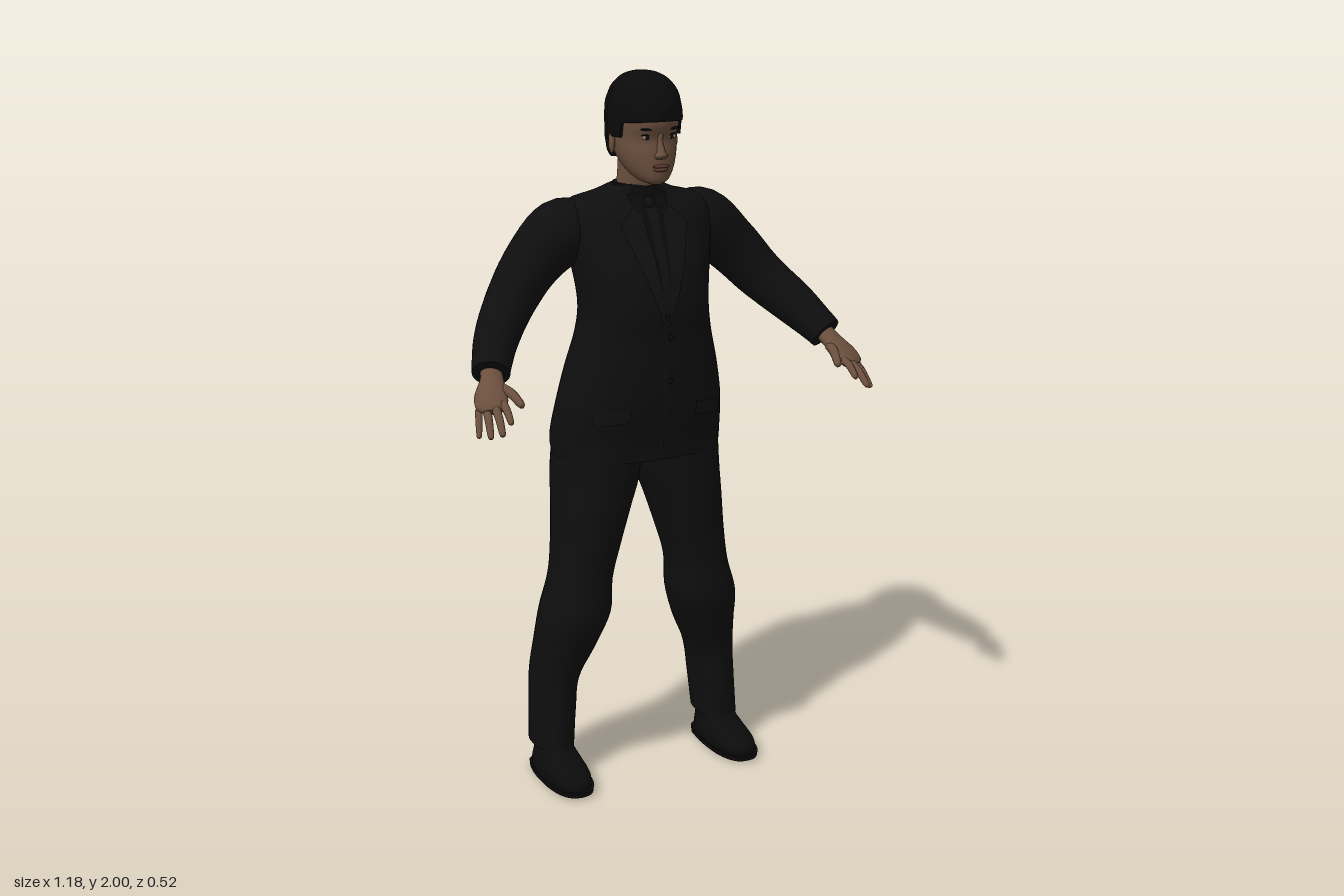
import * as THREE from 'three';

const mat = (name, color, side = THREE.FrontSide) => {
  const m = new THREE.MeshStandardMaterial({ color, side });
  m.name = name;
  return m;
};

// Smooth curves through rows of [x, y, z, radiusU, radiusV]
const curves = rows => [
  new THREE.CatmullRomCurve3(rows.map(r => new THREE.Vector3(r[0], r[1], r[2])), false, 'catmullrom', 0.5),
  new THREE.CatmullRomCurve3(rows.map(r => new THREE.Vector3(r[3], r[4], 0)), false, 'catmullrom', 0.5),
];
const sp = (v, p) => Math.sign(v) * Math.abs(v) ** (2 / p);

// Skin over superellipse sections, either level (stacked in y) or square to a path
function loft(rows, { power = 2, level = false, sides = 32, steps = 5 } = {}) {
  const [path, radii] = curves(rows), n = (rows.length - 1) * steps;
  const pos = [], idx = [], Y = new THREE.Vector3(0, 1, 0);
  const u = new THREE.Vector3(1, 0, 0), v = new THREE.Vector3(0, 0, 1), p = new THREE.Vector3();
  for (let i = 0; i <= n; i++) {
    const c = path.getPoint(i / n), r = radii.getPoint(i / n);
    if (!level) {
      const w = path.getTangent(i / n);
      u.crossVectors(w, Y).normalize();
      v.crossVectors(u, w);
    }
    for (let j = 0; j < sides; j++) {
      const a = j / sides * Math.PI * 2;
      p.copy(c).addScaledVector(u, sp(Math.cos(a), power) * r.x).addScaledVector(v, sp(Math.sin(a), power) * r.y);
      pos.push(p.x, p.y, p.z);
      if (i < n) {
        const k = (j + 1) % sides, A = i * sides + j, B = i * sides + k;
        idx.push(A, A + sides, B, B, A + sides, B + sides);
      }
    }
  }
  // end caps with their own corners
  for (const end of [0, n]) {
    const s = pos.length / 3, c = path.getPoint(end / n);
    pos.push(...pos.slice(end * sides * 3, (end + 1) * sides * 3), c.x, c.y, c.z);
    for (let j = 0; j < sides; j++) {
      const k = (j + 1) % sides;
      idx.push(s + sides, ...(end ? [s + k, s + j] : [s + j, s + k]));
    }
  }
  return finish(new THREE.BufferGeometry(), pos, idx);
}
function finish(g, pos, idx) {
  g.setAttribute('position', new THREE.Float32BufferAttribute(pos, 3));
  g.setIndex(idx);
  g.computeVertexNormals();
  return g;
}

// z of the front of a level loft at (x, y)
function frontOf(rows, power) {
  const [path, radii] = curves(rows);
  return (x, y) => {
    let lo = 0, hi = 1;
    for (let i = 0; i < 24; i++) {
      const m = (lo + hi) / 2;
      if (path.getPoint(m).y < y) lo = m; else hi = m;
    }
    const r = radii.getPoint(lo);
    return path.getPoint(lo).z + r.y * Math.max(0, 1 - Math.abs(x / r.x) ** power) ** (1 / power);
  };
}
// Thin cloth panel between four [x, y] corners: bottom left, bottom right, top right, top left
function panel(front, [a, b, c, d], lift) {
  const g = new THREE.PlaneGeometry(1, 1, 8, 16), P = g.attributes.position, mix = THREE.MathUtils.lerp;
  for (let i = 0; i < P.count; i++) {
    const s = P.getX(i) + 0.5, t = P.getY(i) + 0.5;
    const x = mix(mix(a[0], b[0], s), mix(d[0], c[0], s), t), y = mix(mix(a[1], b[1], s), mix(d[1], c[1], s), t);
    P.setXYZ(i, x, y, front(x, y) + lift);
  }
  g.computeVertexNormals();
  return g;
}
function mirrored(geo) {
  const g = geo.clone().scale(-1, 1, 1), I = g.index;
  for (let i = 0; i < I.count; i += 3) {
    const t = I.getX(i);
    I.setX(i, I.getX(i + 1));
    I.setX(i + 1, t);
  }
  g.computeVertexNormals();
  return g;
}
const blob = (x, y, z, rx, ry, rz, tilt = 0) =>
  new THREE.SphereGeometry(1, 20, 14).scale(rx, ry, rz).rotateZ(tilt).translate(x, y, z);

export function createModel() {
  const suit = mat('suit black', 0x0e0e0e), cloth = mat('lapel black', 0x101010, THREE.DoubleSide);
  const shirt = mat('shirt black', 0x0a0a0a, THREE.DoubleSide), leather = mat('shoe black', 0x0b0b0b);
  const hairMat = mat('hair black', 0x0b0a0a, THREE.DoubleSide), skin = mat('skin', 0x6b4f3d);
  const lip = mat('lips', 0x5a3a30), white = mat('eye white', 0x9c928a), iris = mat('iris', 0x170e0a);
  const model = new THREE.Group();
  model.name = 'standingFigure';
  const add = (name, geo, m) => {
    const mesh = new THREE.Mesh(geo, m);
    mesh.name = name;
    model.add(mesh);
  };
  const pair = (name, geo, m) => {
    add(name + 'Left', geo, m);
    add(name + 'Right', mirrored(geo), m);
  };

  // jacket body
  const body = [
    [0, 0.95, -0.092, 0.242, 0.16], [0, 1.0, -0.093, 0.245, 0.165], [0, 1.1, -0.07, 0.235, 0.16],
    [0, 1.2, -0.055, 0.215, 0.152], [0, 1.3, -0.042, 0.19, 0.14], [0, 1.38, -0.04, 0.18, 0.144],
    [0, 1.48, -0.057, 0.193, 0.14], [0, 1.56, -0.08, 0.213, 0.126], [0, 1.62, -0.094, 0.218, 0.112],
    [0, 1.655, -0.102, 0.19, 0.09], [0, 1.675, -0.096, 0.12, 0.073], [0, 1.695, -0.085, 0.07, 0.062]];
  add('jacket', loft(body, { power: 2.4, level: true, sides: 48 }), suit);
  const chest = frontOf(body, 2.4);
  // shirt front, tie, lapels, collar, closing edge, pockets, buttons
  add('shirtFront', panel(chest, [[-0.004, 1.36], [0.004, 1.36], [0.05, 1.67], [-0.05, 1.67]], 0.002), shirt);
  add('tie', panel(chest, [[-0.01, 1.37], [0.01, 1.37], [0.014, 1.64], [-0.014, 1.64]], 0.005), cloth);
  add('tieKnot', blob(0, 1.65, chest(0, 1.65) + 0.002, 0.017, 0.02, 0.01), cloth);
  pair('lapel', panel(chest, [[0.003, 1.34], [0.012, 1.34], [0.1, 1.6], [0.035, 1.66]], 0.006), cloth);
  pair('shirtCollar', panel(chest, [[0.012, 1.65], [0.045, 1.625], [0.06, 1.675], [0.02, 1.685]], 0.008), shirt);
  add('jacketEdge', panel(chest, [[-0.006, 0.955], [0.006, 0.955], [0.006, 1.35], [-0.006, 1.35]], 0.003), cloth);
  pair('pocketFlap', panel(chest, [[0.1, 1.07], [0.19, 1.06], [0.19, 1.1], [0.1, 1.11]], 0.004), cloth);
  for (const y of [1.18, 1.3]) add('button', blob(0.014, y, chest(0.014, y) + 0.003, 0.008, 0.008, 0.004), leather);

  // sleeves
  pair('sleeve', loft([
    [0.13, 1.588, -0.108, 0.07, 0.06], [0.21, 1.573, -0.11, 0.092, 0.09], [0.3, 1.5, -0.1, 0.078, 0.08],
    [0.38, 1.41, -0.065, 0.068, 0.07], [0.45, 1.335, 0.005, 0.06, 0.062],
    [0.49, 1.283, 0.065, 0.053, 0.052], [0.505, 1.26, 0.093, 0.05, 0.048]]), suit);

  // trousers
  pair('trouserLeg', loft([
    [0.265, 0.095, -0.105, 0.058, 0.087], [0.258, 0.2, -0.112, 0.06, 0.092], [0.249, 0.3, -0.115, 0.064, 0.096],
    [0.222, 0.4, -0.097, 0.083, 0.106], [0.2, 0.5, -0.075, 0.096, 0.115], [0.183, 0.6, -0.073, 0.085, 0.109],
    [0.163, 0.7, -0.078, 0.092, 0.12], [0.144, 0.8, -0.085, 0.104, 0.135],
    [0.125, 0.9, -0.095, 0.118, 0.146], [0.12, 1.02, -0.09, 0.115, 0.14]], { power: 2.2, level: true }), suit);

  // shoes
  pair('shoe', loft([
    [0.265, 0.02, -0.035, 0.062, 0.143], [0.265, 0.045, -0.037, 0.062, 0.138], [0.264, 0.07, -0.06, 0.053, 0.112],
    [0.264, 0.095, -0.09, 0.048, 0.08], [0.264, 0.15, -0.105, 0.046, 0.065]], { power: 2.3, level: true }), leather);
  pair('sole', loft([[0.265, 0.007, -0.033, 0.064, 0.146], [0.265, 0.022, -0.033, 0.066, 0.149]],
    { power: 2.5, level: true, steps: 1 }), leather);
  pair('heel', loft([[0.265, 0, -0.128, 0.05, 0.05], [0.265, 0.02, -0.128, 0.052, 0.052]],
    { power: 2.6, level: true, steps: 1 }), leather);

  // hands
  pair('palm', loft([
    [0.499, 1.272, 0.075, 0.027, 0.024], [0.51, 1.247, 0.11, 0.031, 0.023], [0.528, 1.217, 0.148, 0.043, 0.021],
    [0.54, 1.193, 0.178, 0.04, 0.016], [0.545, 1.185, 0.19, 0.022, 0.009]], { sides: 20 }), skin);
  const fingers = {
    thumb: [[0.497, 1.232, 0.13], [0.47, 1.2, 0.222], 0.013],
    indexFinger: [[0.51, 1.203, 0.175], [0.513, 1.165, 0.248], 0.0105],
    middleFinger: [[0.53, 1.195, 0.178], [0.543, 1.14, 0.262], 0.011],
    ringFinger: [[0.55, 1.188, 0.17], [0.567, 1.13, 0.24], 0.0105],
    littleFinger: [[0.566, 1.184, 0.156], [0.585, 1.125, 0.203], 0.009] };
  for (const [name, [a, b, r]] of Object.entries(fingers)) {
    const at = (t, k, bend = 0) => [...a.map((q, i) => q + (b[i] - q) * t + (i === 1 ? bend : 0)), r * k, r * k];
    pair(name, loft([at(0, 1.1), at(0.5, 1, 0.008), at(0.88, 0.8), at(0.97, 0.55), at(1, 0.1)],
      { sides: 10, steps: 3 }), skin);
  }

  // neck and head
  add('neck', loft([[0, 1.64, -0.085, 0.066, 0.066], [0, 1.7, -0.075, 0.056, 0.06], [0, 1.8, -0.06, 0.055, 0.065]],
    { level: true }), skin);
  add('collarBand', loft([[0, 1.665, -0.084, 0.078, 0.073], [0, 1.7, -0.082, 0.064, 0.066]],
    { level: true }), shirt);
  const skull = [
    [0, 1.708, 0.03, 0.014, 0.02], [0, 1.72, 0.015, 0.04, 0.049], [0, 1.75, -0.01, 0.063, 0.078],
    [0, 1.79, -0.03, 0.078, 0.097], [0, 1.83, -0.042, 0.083, 0.104], [0, 1.87, -0.039, 0.086, 0.115],
    [0, 1.92, -0.04, 0.083, 0.11], [0, 1.96, -0.04, 0.06, 0.075], [0, 1.975, -0.04, 0.02, 0.025]];
  add('head', loft(skull, { power: 2.2, level: true, sides: 40 }), skin);
  const face = frontOf(skull, 2.2);

  // facial features
  add('nose', loft([[0, 1.778, face(0, 1.785) - 0.002, 0.014, 0.006], [0, 1.787, face(0, 1.787), 0.018, 0.018],
    [0, 1.798, face(0, 1.798), 0.012, 0.016], [0, 1.82, face(0, 1.82), 0.008, 0.01],
    [0, 1.845, face(0, 1.845) - 0.002, 0.006, 0.004]], { level: true, sides: 16 }), skin);
  add('upperLip', blob(0, 1.759, face(0, 1.759), 0.025, 0.005, 0.007), lip);
  add('lowerLip', blob(0, 1.75, face(0, 1.75), 0.021, 0.006, 0.008), lip);
  const ez = face(0.036, 1.835);
  pair('eye', blob(0.036, 1.835, ez, 0.0145, 0.006, 0.004), white);
  pair('iris', blob(0.036, 1.835, ez + 0.003, 0.006, 0.0058, 0.003), iris);
  pair('eyelid', blob(0.036, 1.8415, ez + 0.001, 0.017, 0.0022, 0.004), iris);
  pair('eyebrow', blob(0.038, 1.857, face(0.038, 1.857), 0.021, 0.0035, 0.005, 0.08), hairMat);
  pair('ear', blob(0, 0, 0, 0.009, 0.03, 0.018).rotateX(-0.15).rotateY(0.35).translate(0.09, 1.815, -0.045), skin);

  // short hair: a cap whose lower edge drops from forehead to nape
  const hair = new THREE.SphereGeometry(1, 64, 32), H = hair.attributes.position, uv = hair.attributes.uv;
  for (let i = 0; i < H.count; i++) {
    const t = 1 - uv.getY(i), a = Math.round(uv.getX(i) * 64) % 64 / 64 * Math.PI * 2, f = Math.sin(a);
    const edge = f > 0.35 ? 0.03 - 0.1 * (1 - f) : f > -0.2 ? -0.35 : -0.82;
    const s = Math.min(1, t / 0.94), c = Math.cos(s * Math.acos(edge)), p = c < 0 ? 4 : 2.4;
    const r = (1 - Math.abs(c) ** p) ** (1 / p) * (t > 0.94 ? 0.84 : 1);
    const tuft = 1 + 0.012 * Math.sin(a * 9 + c * 6) * Math.sin(c * 11 + a * 2) * Math.min(1, r * 2);
    H.setXYZ(i, Math.cos(a) * r * 0.096 * tuft, 1.875 + c * 0.125, -0.038 + f * r * 0.134 * tuft);
  }
  // turn the faces outward
  const I = hair.index;
  for (let i = 0; i < I.count; i += 3) {
    const q = I.getX(i);
    I.setX(i, I.getX(i + 1));
    I.setX(i + 1, q);
  }
  hair.computeVertexNormals();
  add('hair', hair, hairMat);

  return model;
}
